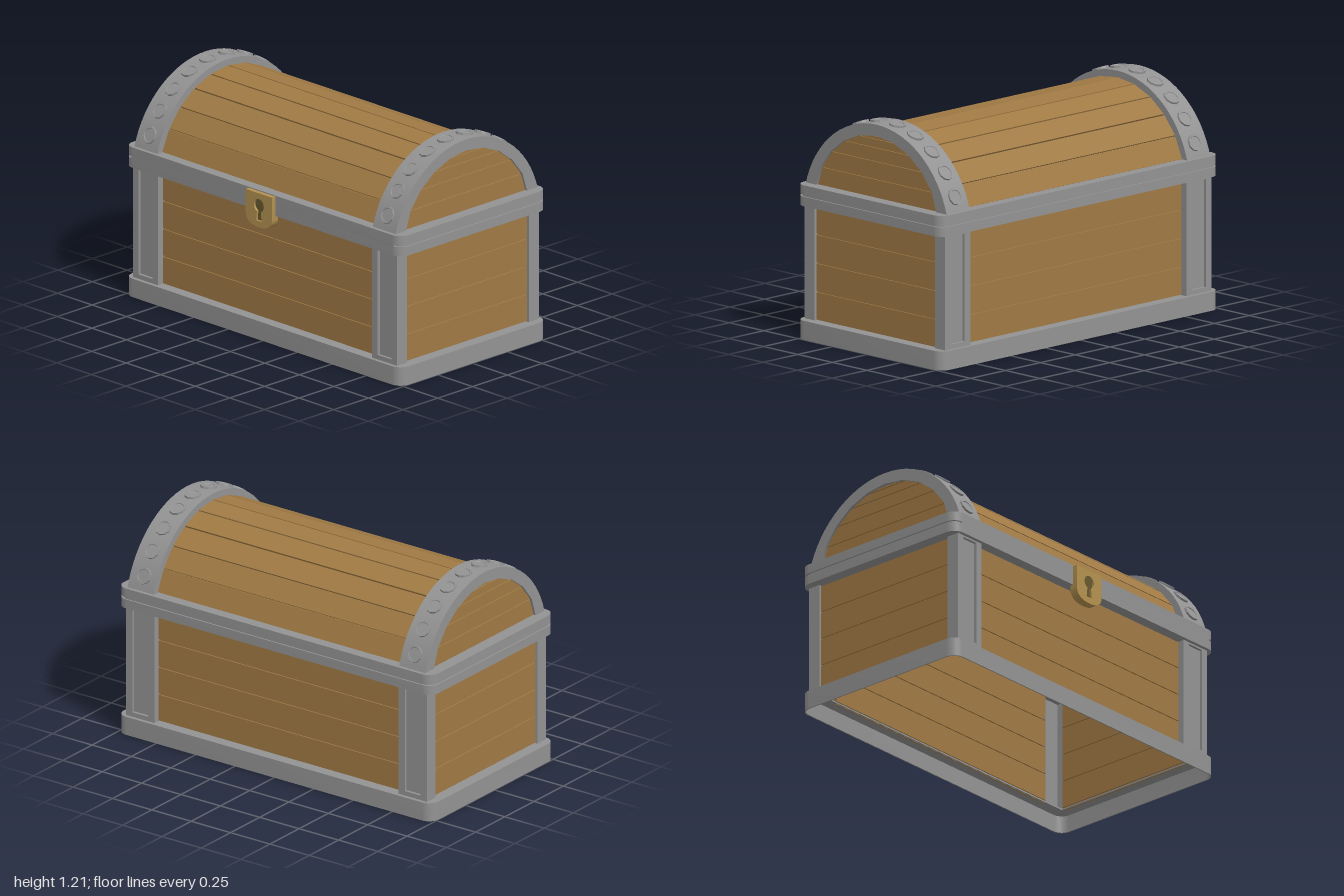
import * as THREE from 'three';
import { toCreasedNormals } from 'three/addons/utils/BufferGeometryUtils.js';

const metal = new THREE.MeshStandardMaterial({ color: 0x939393 });
const wood = new THREE.MeshStandardMaterial({ color: 0xa07a44 });
const brass = new THREE.MeshStandardMaterial({ color: 0xb49250 });
const darkBrass = new THREE.MeshStandardMaterial({ color: 0x68592f });

const ARC_Y = 0.667; // centre height of the lid's curve
const STEP = (14.7 * Math.PI) / 180; // angle covered by one lid plank

function add(parent, name, geometry, material, x = 0, y = 0, z = 0) {
  const mesh = new THREE.Mesh(geometry, material);
  mesh.name = name;
  mesh.position.set(x, y, z);
  parent.add(mesh);
  return mesh;
}

const box = (w, h, d) => new THREE.BoxGeometry(w, h, d);

function extrude(shape, depth, curveSegments = 8) {
  const g = new THREE.ExtrudeGeometry(shape, { depth, bevelEnabled: false, curveSegments });
  return toCreasedNormals(g.translate(0, 0, -depth / 2), 0.6);
}

function poly(points) {
  return new THREE.Shape(points.map(([x, y]) => new THREE.Vector2(x, y)));
}

function roundedRect(w, d, r) {
  const s = new THREE.Shape();
  s.absarc(w - r, d - r, r, 0, Math.PI / 2);
  s.absarc(r - w, d - r, r, Math.PI / 2, Math.PI);
  s.absarc(r - w, r - d, r, Math.PI, Math.PI * 1.5);
  s.absarc(w - r, r - d, r, Math.PI * 1.5, Math.PI * 2);
  s.closePath();
  return s;
}

// Hollow rectangular band with rounded corners, from y0 to y1
function band(parent, name, y0, y1, wall, inset = 0) {
  const s = roundedRect(1 - inset, 0.53 - inset, 0.06);
  s.holes.push(roundedRect(1 - wall, 0.53 - wall, Math.max(0.06 - wall, 0.005)));
  const g = extrude(s, y1 - y0, 5).rotateX(-Math.PI / 2);
  add(parent, name, g, metal, 0, (y0 + y1) / 2, 0);
}

// Four stacked boards joined by a thin core that shows in the gaps
function plankWall(parent, name, length, x, z, turn) {
  const wall = new THREE.Group();
  wall.name = name;
  wall.position.set(x, 0, z);
  wall.rotation.y = turn;
  for (let i = 0; i < 4; i++) {
    add(wall, 'plank', box(length, 0.142, 0.02), wood, 0, 0.175 + i * 0.15, 0);
  }
  add(wall, 'plankCore', box(length, 0.62, 0.006), wood, 0, 0.4, 0);
  parent.add(wall);
}

// Thin corner post: recessed panel on the long face, plain leg on the short face
function cornerPost(parent, sx, sz) {
  const post = new THREE.Group();
  post.name = 'cornerPost';
  const frame = poly([[-0.09, 0.095], [0.09, 0.095], [0.09, 0.705], [-0.09, 0.705]]);
  frame.holes.push(poly([[-0.05, 0.125], [-0.05, 0.69], [0.05, 0.69], [0.05, 0.125]]));
  add(post, 'postFrame', extrude(frame, 0.015), metal, sx * 0.865, 0, sz * 0.5025);
  add(post, 'postPanel', box(0.11, 0.575, 0.008), metal, sx * 0.865, 0.4075, sz * 0.491);
  add(post, 'postInnerEdge', box(0.01, 0.61, 0.045), metal, sx * 0.78, 0.4, sz * 0.4825);
  add(post, 'postLeg', box(0.02, 0.61, 0.0725), metal, sx * 0.945, 0.4, sz * 0.47375);
  parent.add(post);
}

// Points of the lid's faceted inner outline, i from -5 to 5
const innerPoint = (i) => Math.abs(i) === 5
  ? [Math.sign(i) * 0.4375, 0.8]
  : [0.47 * Math.sin(i * STEP), ARC_Y + 0.47 * Math.cos(i * STEP)];

// Metal arch at one end of the lid, with its studs and boarded end
function lidEnd(parent, sx) {
  const end = new THREE.Group();
  end.name = 'lidEnd';
  const outline = [];
  for (let i = -5; i <= 5; i++) outline.push(innerPoint(i));
  const a = Math.asin((0.8 - ARC_Y) / 0.53);
  const arch = [];
  for (let i = 0; i <= 30; i++) {
    const t = a + ((Math.PI - 2 * a) * i) / 30;
    arch.push([0.53 * Math.cos(t), ARC_Y + 0.53 * Math.sin(t)]);
  }
  arch.push(...outline);
  add(end, 'lidArch', extrude(poly(arch), 0.165).rotateY(Math.PI / 2), metal, sx * 0.8625, 0, 0);

  // End boards, cut to the faceted outline
  add(end, 'endCore', extrude(poly(outline), 0.01).rotateY(Math.PI / 2), wood, sx * 0.92, 0, 0);
  for (let i = 5; i > 0; i--) {
    const [w0, y0] = innerPoint(i);
    const [w1, y1] = innerPoint(i - 1);
    const top = y1 - 0.007;
    const wt = w1 + ((w0 - w1) * 0.007) / (y1 - y0);
    const board = poly([[-w0, y0], [w0, y0], [wt, top], [-wt, top]]);
    add(end, 'endPlank', extrude(board, 0.024).rotateY(Math.PI / 2), wood, sx * 0.92, 0, 0);
  }

  // Ten rimmed studs around the arch
  const profile = [[0.046, -0.012], [0.044, 0.009], [0.035, 0.009], [0.033, 0.005], [0, 0.005]];
  const stud = toCreasedNormals(
    new THREE.LatheGeometry(profile.map(([x, y]) => new THREE.Vector2(x, y)), 10), 0.6);
  for (let i = 0; i < 10; i++) {
    const t = ((i - 4.5) * 14.6 * Math.PI) / 180;
    const m = add(end, 'stud', stud, metal, sx * 0.86, ARC_Y + 0.53 * Math.cos(t), 0.53 * Math.sin(t));
    m.rotation.x = t;
  }
  parent.add(end);
}

// Curved roof of ten flat boards
function lidPlanks(parent) {
  const R = 0.496;
  const chord = 2 * R * Math.sin(STEP / 2);
  const apothem = R * Math.cos(STEP / 2);
  for (let i = 0; i < 10; i++) {
    const t = (i - 4.5) * STEP;
    const place = (name, w, h, r) => {
      const m = add(parent, name, box(1.58, h, w), wood, 0, ARC_Y + r * Math.cos(t), r * Math.sin(t));
      m.rotation.x = t;
    };
    place('lidPlank', chord - 0.008, 0.022, apothem - 0.011);
    place('lidCore', chord, 0.01, apothem - 0.016);
  }
}

// Lock plate with a rounded foot and a keyhole
function lockPlate(parent) {
  const lock = new THREE.Group();
  lock.name = 'lock';
  const s = poly([[0.095, 0.805], [-0.095, 0.805], [-0.095, 0.68]]);
  s.bezierCurveTo(-0.09, 0.64, -0.06, 0.62, 0, 0.62);
  s.bezierCurveTo(0.06, 0.62, 0.09, 0.64, 0.095, 0.68);
  const hole = new THREE.Path();
  hole.moveTo(-0.02, 0.655);
  hole.lineTo(-0.014, 0.708);
  hole.absarc(0, 0.738, 0.036, -1.97, -1.17, true);
  hole.lineTo(0.02, 0.655);
  hole.closePath();
  s.holes.push(hole);
  add(lock, 'lockPlate', extrude(s, 0.045, 10), brass, 0, 0, 0.5325);
  add(lock, 'keyholeBack', box(0.1, 0.14, 0.02), darkBrass, 0, 0.715, 0.533);
  parent.add(lock);
}

export function createModel() {
  const root = new THREE.Group();
  root.name = 'chest';
  const chest = new THREE.Group();
  chest.name = 'chestParts';
  chest.position.z = -0.01;
  root.add(chest);

  // Open base skirt with a ledge on top, and two rims with a seam on the sides and back
  band(chest, 'baseSkirt', 0, 0.1, 0.006);
  band(chest, 'baseLedge', 0.092, 0.1, 0.075, 0.003);
  band(chest, 'bodyRim', 0.7, 0.75, 0.075);
  band(chest, 'rimSeam', 0.75, 0.76, 0.075, 0.008);
  band(chest, 'lidRim', 0.76, 0.81, 0.075);
  add(chest, 'frontSeamCover', box(1.9, 0.012, 0.03), metal, 0, 0.755, 0.515);

  // Body walls, posts and lid ends
  for (const s of [1, -1]) {
    plankWall(chest, 'longWall', 1.6, 0, s * 0.465, 0);
    plankWall(chest, 'shortWall', 0.9, s * 0.932, 0, Math.PI / 2);
    for (const sz of [1, -1]) cornerPost(chest, s, sz);
    lidEnd(chest, s);
  }

  lidPlanks(chest);
  lockPlate(chest);
  return root;
}
